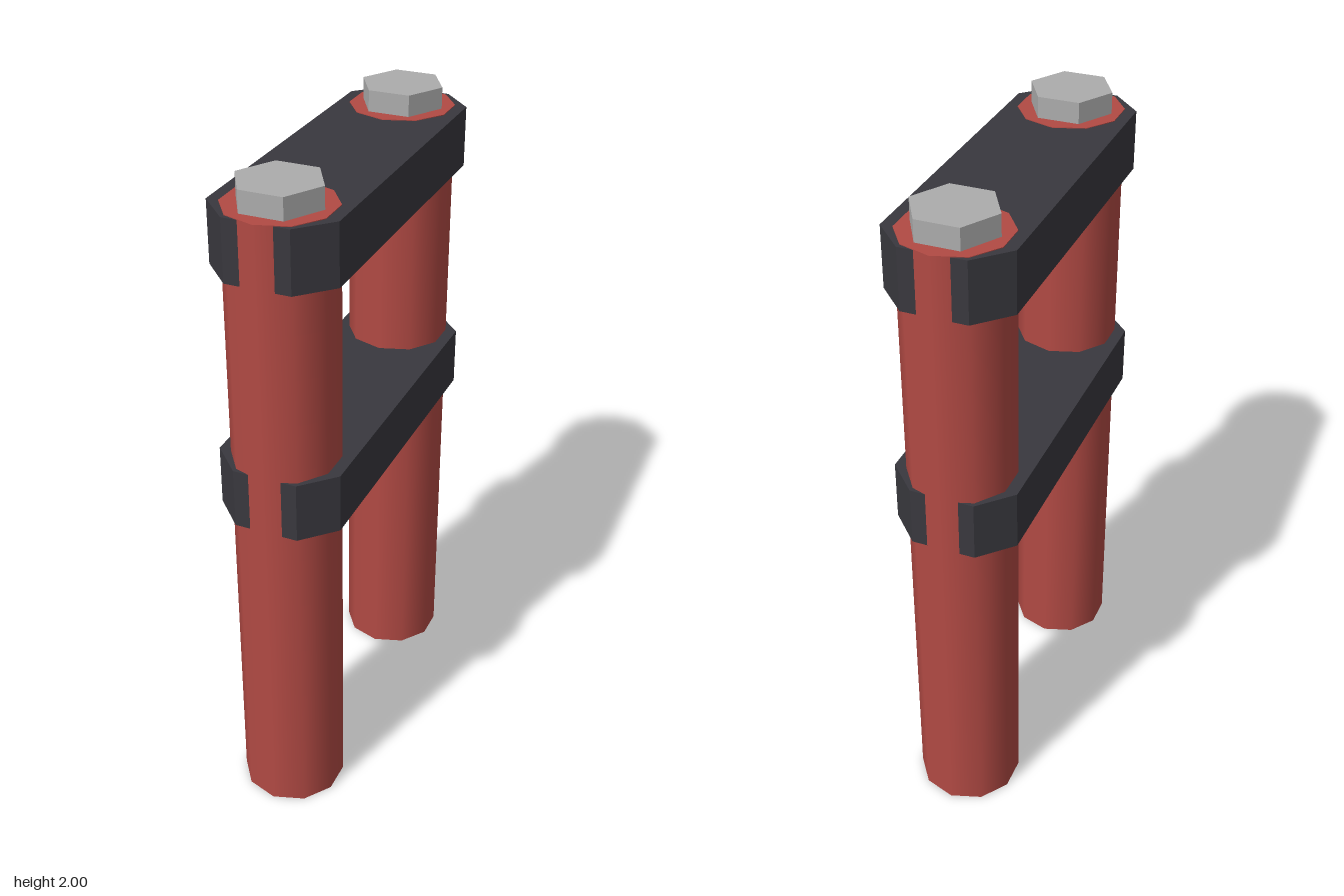
import * as THREE from 'three';

export function createModel() {
  const red = new THREE.MeshStandardMaterial({ color: 0xb24a44 });
  red.name = 'red post';
  const dark = new THREE.MeshStandardMaterial({ color: 0x39383e });
  dark.name = 'dark clamp';
  const grey = new THREE.MeshStandardMaterial({ color: 0xacacac });
  grey.name = 'grey metal';

  const model = new THREE.Group();
  model.name = 'postPair';

  function add(name, geometry, material, x, y, z) {
    const mesh = new THREE.Mesh(geometry, material);
    mesh.name = name;
    mesh.position.set(x, y, z);
    model.add(mesh);
  }

  // Ten-sided smooth posts, each topped with a hexagonal bolt head
  const postTop = 1.937;
  const postGeometry = new THREE.CylinderGeometry(0.157, 0.157, postTop, 10);
  const boltHeight = 2 - postTop;
  const boltGeometry = new THREE.CylinderGeometry(0.125, 0.125, boltHeight, 6)
    .rotateY(Math.PI / 6)
    .toNonIndexed();
  boltGeometry.computeVertexNormals();
  for (const [side, z] of [['front', 0.417], ['back', -0.417]]) {
    add(side + 'Post', postGeometry, red, 0, postTop / 2, z);
    add(side + 'Bolt', boltGeometry, grey, 0, postTop + boltHeight / 2, z);
  }

  // Clamp plates: long bars with chamfered corners
  const w = 0.185, endW = 0.095, l = 0.558, sideL = 0.465;
  const outline = new THREE.Shape([
    [w, -sideL], [w, sideL], [endW, l], [-endW, l],
    [-w, sideL], [-w, -sideL], [-endW, -l], [endW, -l],
  ].map(([x, y]) => new THREE.Vector2(x, y)));
  const clampGeometry = new THREE.ExtrudeGeometry(outline, { depth: 0.18, bevelEnabled: false })
    .rotateX(-Math.PI / 2);
  add('upperClamp', clampGeometry, dark, 0, 1.755, 0);
  add('lowerClamp', clampGeometry, dark, 0, 1.01, 0);

  return model;
}
